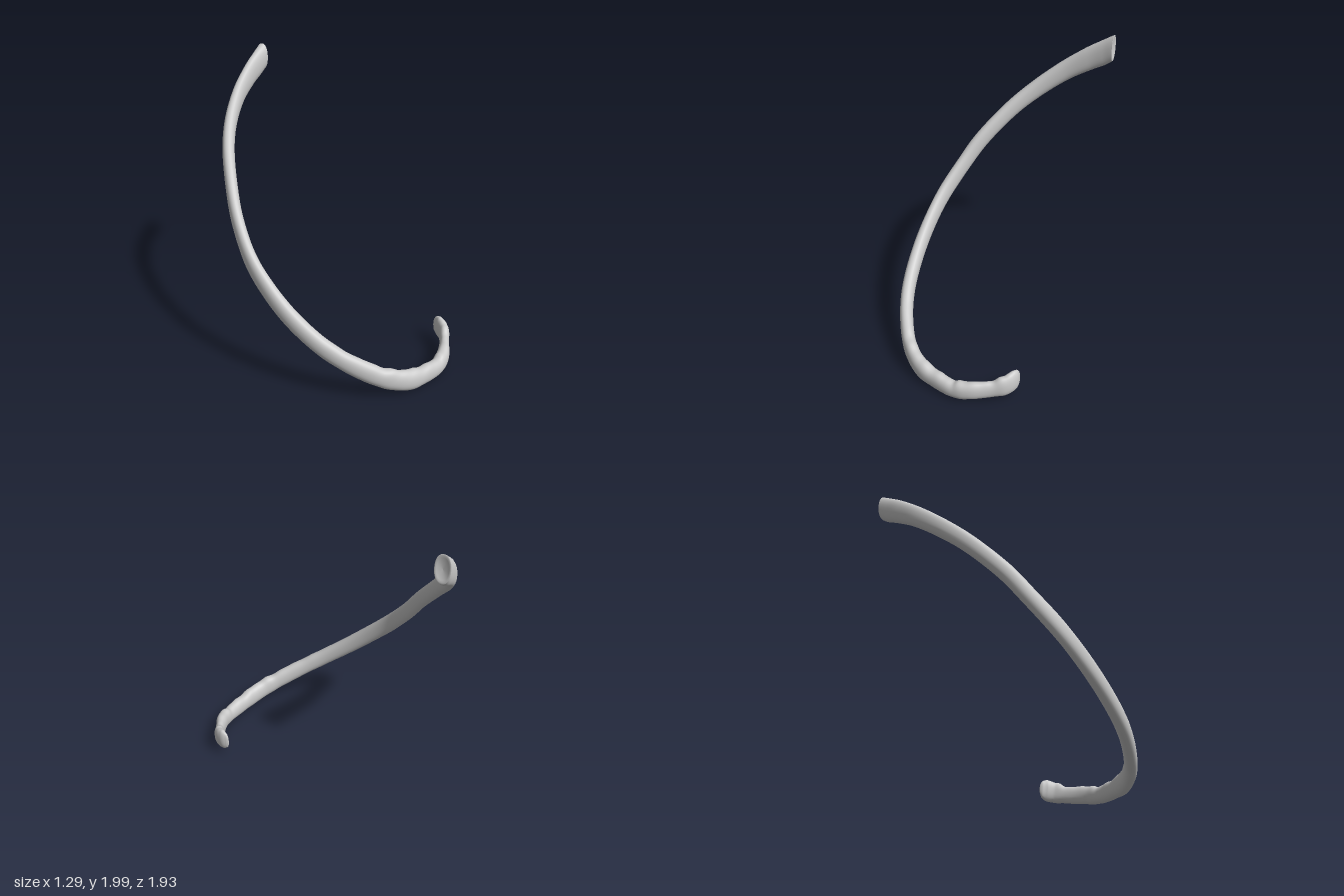
import * as THREE from 'three';
import { mergeVertices } from 'three/addons/utils/BufferGeometryUtils.js';

// Stations along the bone: centre x, y, z, half thickness, half height, lean of the section towards vertical
const stations = [
  [0.168, 1.903, -0.918, 0.05, 0.095, 1],
  [0.1, 1.858, -0.893, 0.044, 0.091, 0.7],
  [0, 1.797, -0.85, 0.041, 0.081, 0.2],
  [-0.15, 1.69, -0.768, 0.041, 0.07, 0],
  [-0.3, 1.55, -0.645, 0.042, 0.064, 0],
  [-0.42, 1.4, -0.495, 0.042, 0.06, 0],
  [-0.525, 1.2, -0.3, 0.041, 0.059, 0],
  [-0.58, 1.025, -0.15, 0.04, 0.059, 0],
  [-0.61, 0.84, 0.03, 0.04, 0.062, 0],
  [-0.593, 0.685, 0.2, 0.042, 0.063, 0],
  [-0.54, 0.53, 0.38, 0.045, 0.063, 0],
  [-0.45, 0.387, 0.56, 0.046, 0.063, 0],
  [-0.34, 0.28, 0.7, 0.046, 0.064, 0],
  [-0.2, 0.185, 0.82, 0.046, 0.068, 0],
  [-0.08, 0.13, 0.885, 0.047, 0.073, 0],
  [0.05, 0.092, 0.915, 0.05, 0.073, 0],
  [0.2, 0.075, 0.91, 0.047, 0.067, 0],
  [0.32, 0.07, 0.893, 0.046, 0.061, 0],
  [0.42, 0.09, 0.85, 0.044, 0.068, 0],
  [0.52, 0.1, 0.765, 0.034, 0.06, 0.2],
  [0.59, 0.125, 0.69, 0.037, 0.075, 0.4],
  [0.612, 0.14, 0.625, 0.032, 0.079, 0.5],
  [0.613, 0.146, 0.585, 0.018, 0.062, 0.5],
  [0.613, 0.148, 0.568, 0.006, 0.03, 0.5],
];
const RINGS = 240, SIDES = 28;
const UP = new THREE.Vector3(0, 1, 0);

// Gentle lumps on the cartilage end, strongest along its upper edge
function lump(t, a) {
  const fade = THREE.MathUtils.smoothstep(t, 0.42, 0.62) * (1 - THREE.MathUtils.smoothstep(t, 0.85, 0.95));
  const edge = 0.25 + 0.75 * Math.max(0, Math.sin(a));
  const wave = Math.sin(t * 118) + 0.7 * Math.sin(t * 191 + 1) + 0.4 * Math.sin(t * 67 + a * 2);
  return 1 + 0.05 * fade * edge * wave;
}

// One oval ring of points square to the path
function ring(path, size, t) {
  const c = path.getPoint(t), s = size.getPoint(t), tangent = path.getTangent(t);
  const out = UP.clone().cross(tangent).normalize();
  const high = tangent.clone().cross(out).lerp(UP, s.z).normalize();
  return Array.from({ length: SIDES }, (_, j) => {
    const a = (j / SIDES) * Math.PI * 2, k = lump(t, a);
    // slightly squared oval
    const u = Math.sign(Math.cos(a)) * Math.abs(Math.cos(a)) ** 0.9;
    const v = Math.sign(Math.sin(a)) * Math.abs(Math.sin(a)) ** 0.9;
    return c.clone().addScaledVector(out, u * s.x * (0.5 + k / 2)).addScaledVector(high, v * s.y * k);
  });
}

// Smooth surface through rings of equal length
function loft(rings) {
  const pos = rings.flat().flatMap((p) => [p.x, p.y, p.z]), index = [];
  for (let i = 0; i < rings.length - 1; i++) {
    for (let j = 0; j < SIDES; j++) {
      const a = i * SIDES + j, b = i * SIDES + ((j + 1) % SIDES);
      index.push(a, b, a + SIDES, b, b + SIDES, a + SIDES);
    }
  }
  const geo = new THREE.BufferGeometry();
  geo.setAttribute('position', new THREE.Float32BufferAttribute(pos, 3));
  geo.setIndex(index);
  const merged = mergeVertices(geo, 1e-5);
  merged.computeVertexNormals();
  return merged;
}

export function createModel() {
  const group = new THREE.Group();
  group.name = 'ribBone';
  const material = new THREE.MeshStandardMaterial({ color: 0xcccccc });
  const path = new THREE.CatmullRomCurve3(stations.map((s) => new THREE.Vector3(s[0], s[1], s[2])), false, 'catmullrom');
  const size = new THREE.CatmullRomCurve3(stations.map((s) => new THREE.Vector3(s[3], s[4], s[5])), false, 'catmullrom');
  const add = (name, rings) => {
    const mesh = new THREE.Mesh(loft(rings), material);
    mesh.name = name;
    group.add(mesh);
  };

  // Long curved shaft, with its front tip closed to a point
  const shaft = Array.from({ length: RINGS + 1 }, (_, i) => ring(path, size, i / RINGS));
  const tip = path.getPoint(1);
  shaft.push(shaft[RINGS].map(() => tip.clone().addScaledVector(path.getTangent(1), 0.003)));
  add('shaft', shaft);

  // Slightly hollow joint face on the back end
  const centre = path.getPoint(0), inward = path.getTangent(0);
  const socket = [[0.001, 0.012], [0.4, 0.009], [0.75, 0.002], [0.9, -0.003], [1, 0]].map(([k, depth]) =>
    shaft[0].map((p) => centre.clone().lerp(p, k).addScaledVector(inward, depth * (inward.x < 0 ? 1 : -1))));
  add('jointFace', socket);
  return group;
}
